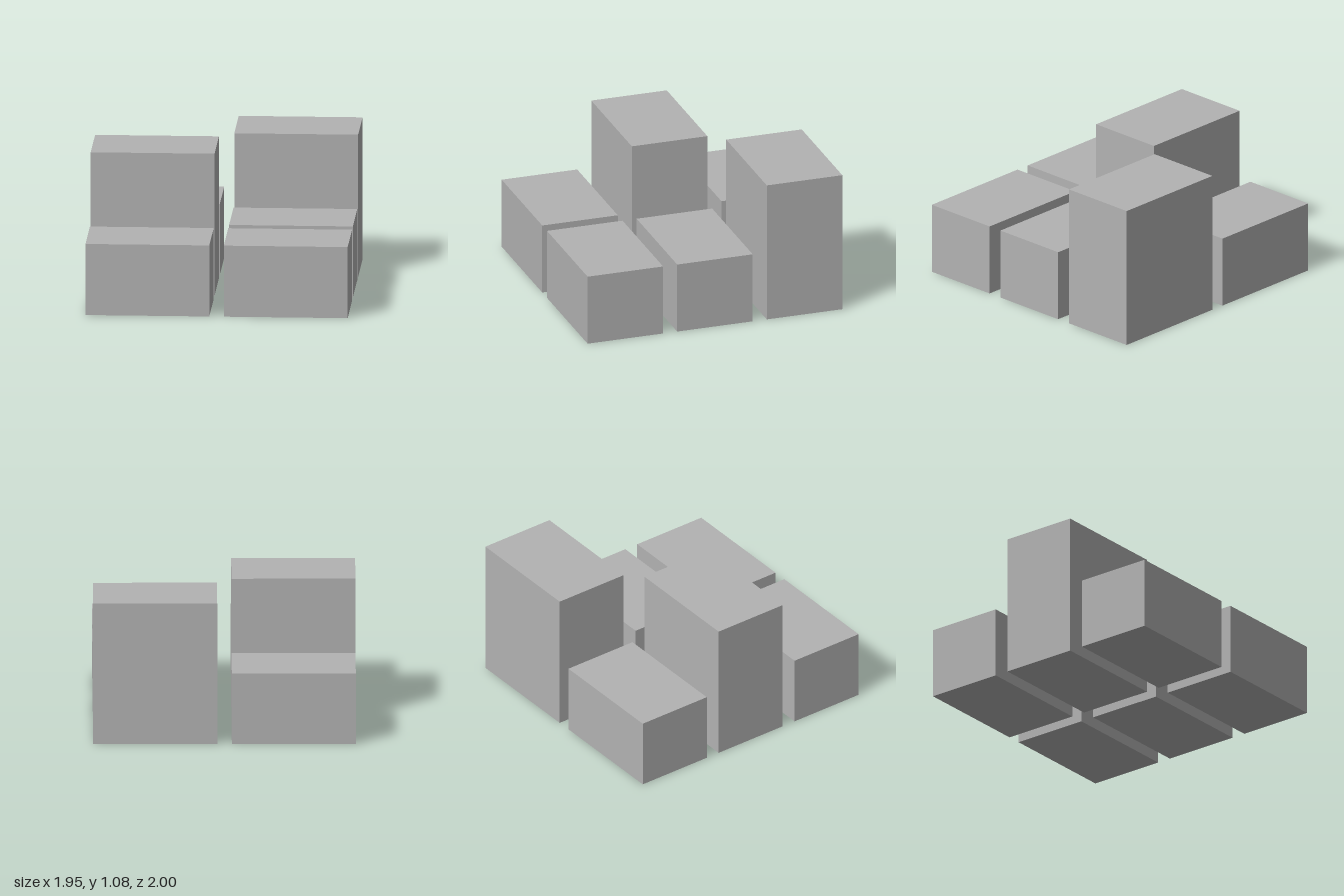
import * as THREE from 'three';

const WIDTH = 0.92, DEPTH = 0.593, LOW = 0.54, TALL = 1.08;
const COLUMN_X = 0.514, ROW_Z = 0.7035;

export function createModel() {
  const model = new THREE.Group();
  model.name = 'blockGrid';
  const grey = new THREE.MeshStandardMaterial({ color: 0xb2b2b2 });
  grey.name = 'grey';

  // Blocks standing on the ground: [name, column, row, height]
  const blocks = [
    ['backLeftBlock', 1, -1, TALL],
    ['backRightBlock', -1, -1, LOW],
    ['middleLeftBlock', 1, 0, LOW],
    ['middleRightBlock', -1, 0, TALL],
    ['frontLeftBlock', 1, 1, LOW],
    ['frontRightBlock', -1, 1, LOW],
  ];
  for (const [name, column, row, height] of blocks) {
    const block = new THREE.Mesh(new THREE.BoxGeometry(WIDTH, height, DEPTH), grey);
    block.name = name;
    block.position.set(column * COLUMN_X, height / 2, row * ROW_Z);
    model.add(block);
  }
  return model;
}
